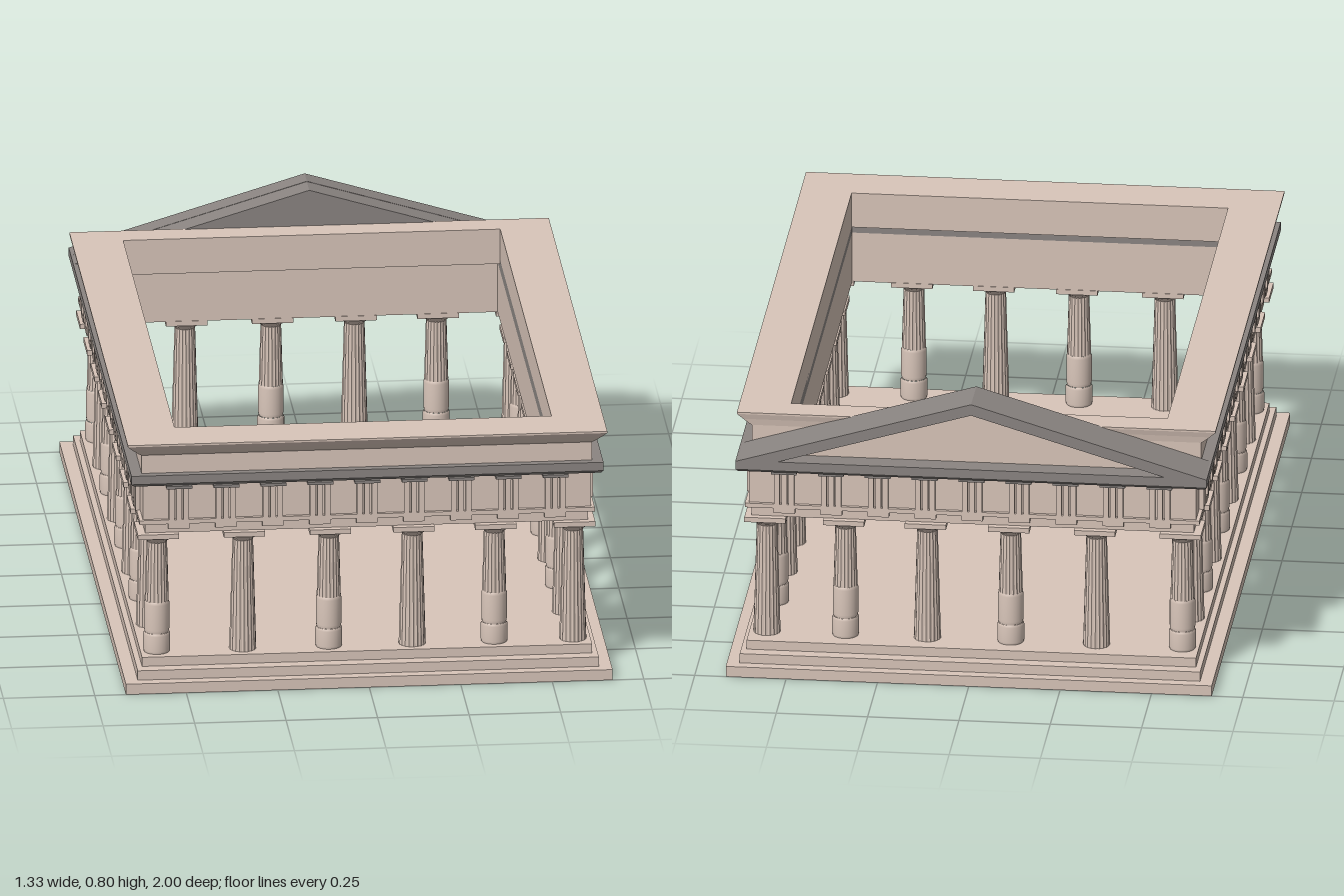
import * as THREE from 'three';

const stone = new THREE.MeshStandardMaterial({ color: 0xd9c6ba });
stone.name = 'pale stone';
const grey = new THREE.MeshStandardMaterial({ color: 0x8b8582 });
grey.name = 'weathered grey stone';

// Rectangular sweep: each profile entry is [halfWidth, frontZ, backZ, y]; the profile closes on itself
function rectSweep(profile) {
  const pos = [];
  const corners = profile.map(([x, f, b, y]) => [[-x, y, f], [x, y, f], [x, y, b], [-x, y, b]]);
  corners.forEach((p, j) => {
    const q = corners[(j + 1) % corners.length];
    for (let i = 0; i < 4; i++) {
      const k = (i + 1) % 4;
      pos.push(...p[i], ...p[k], ...q[k], ...p[i], ...q[k], ...q[i]);
    }
  });
  const g = new THREE.BufferGeometry();
  g.setAttribute('position', new THREE.Float32BufferAttribute(pos, 3));
  g.computeVertexNormals();
  return g;
}

// Square-sided ring between two heights
const ring = (inner, outer, y0, y1) => rectSweep([
  [...inner, y0], [...outer, y0], [...outer, y1], [...inner, y1],
]);

function flutedShaft(r0, r1, y0, y1) {
  const g = new THREE.CylinderGeometry(r1, r0, y1 - y0, 40, 1, true);
  const p = g.attributes.position;
  for (let i = 0; i < p.count; i++) {
    const step = Math.round(Math.atan2(p.getZ(i), p.getX(i)) / (Math.PI / 20));
    const s = step % 2 ? 0.94 : 1;
    p.setX(i, p.getX(i) * s);
    p.setZ(i, p.getZ(i) * s);
  }
  g.translate(0, (y0 + y1) / 2, 0);
  const flat = g.toNonIndexed();
  flat.computeVertexNormals();
  return flat;
}

const lathe = (pts) => new THREE.LatheGeometry(pts.map(([x, y]) => new THREE.Vector2(x, y)), 24);

export function createModel() {
  const model = new THREE.Group();
  model.name = 'temple';
  const add = (parent, name, geo, mat, x = 0, y = 0, z = 0) => {
    const m = new THREE.Mesh(geo, mat);
    m.name = name;
    m.position.set(x, y, z);
    parent.add(m);
    return m;
  };
  const box = (w, h, d) => new THREE.BoxGeometry(w, h, d);

  // Stepped base
  [[0.665, 1.0, 0, 0.03], [0.63, 0.97, 0.03, 0.057], [0.615, 0.935, 0.057, 0.083]].forEach(([hx, hz, y0, y1], i) =>
    add(model, 'baseStep' + (i + 1), box(hx * 2, y1 - y0, hz * 2), stone, 0, (y0 + y1) / 2, 0));

  // Columns: fluted all the way, or with two smooth replacement drums at the foot
  const fullShaft = flutedShaft(0.037, 0.028, 0.083, 0.41);
  const upperShaft = flutedShaft(0.033, 0.028, 0.23, 0.41);
  const lowerDrum = lathe([[0.035, 0.083], [0.037, 0.09], [0.037, 0.133], [0.034, 0.14]]);
  const upperDrum = lathe([[0.033, 0.14], [0.035, 0.15], [0.035, 0.222], [0.032, 0.23]]);
  const echinus = lathe([[0.027, 0.4], [0.03, 0.405], [0.04, 0.411], [0.05, 0.42], [0.05, 0.424]]);
  const abacus = box(0.113, 0.014, 0.113);
  const column = (x, z, drums) => {
    const c = new THREE.Group();
    c.name = 'column';
    c.position.set(x, 0, z);
    if (drums) {
      add(c, 'lowerDrum', lowerDrum, stone);
      add(c, 'upperDrum', upperDrum, stone);
    }
    add(c, 'shaft', drums ? upperShaft : fullShaft, stone);
    add(c, 'echinus', echinus, stone);
    add(c, 'abacus', abacus, stone, 0, 0.429, 0);
    model.add(c);
  };
  const xs = [-0.57, -0.335, -0.1, 0.128, 0.352, 0.567];
  const zs = [0.88, 0.662, 0.445, 0.227, 0.01, -0.207, -0.425, -0.642, -0.86];
  xs.forEach((x, i) => {
    column(x, zs[0], i % 2 === 0);
    column(x, zs[8], i % 2 === 0);
  });
  for (let i = 1; i < 8; i++) {
    column(xs[5], zs[i], [2, 4, 7].includes(i));
    column(xs[0], zs[i], i % 2 === 0);
  }

  // Entablature rings: architrave, narrow band, frieze, cornice
  const inner = [0.515, 0.825, -0.805];
  add(model, 'architrave', ring(inner, [0.605, 0.918, -0.898], 0.435, 0.465), stone);
  add(model, 'architraveBand', ring(inner, [0.622, 0.935, -0.915], 0.465, 0.477), stone);
  add(model, 'frieze', ring(inner, [0.612, 0.925, -0.905], 0.477, 0.578), stone);
  add(model, 'cornice', rectSweep([
    [...inner, 0.578], [0.638, 0.94, -0.933, 0.578], [0.645, 0.947, -0.942, 0.586],
    [0.645, 0.947, -0.942, 0.61], [...inner, 0.61],
  ]), grey);

  // Triglyphs: three upright bars, a cap, a small tab below and a block under the cornice
  const bar = box(0.015, 0.092, 0.018);
  const cap = box(0.058, 0.01, 0.02);
  const tab = box(0.058, 0.014, 0.016);
  const mutule = box(0.07, 0.008, 0.025);
  const triglyph = (x, z, turn) => {
    const t = new THREE.Group();
    t.name = 'triglyph';
    t.position.set(x, 0, z);
    t.rotation.y = turn;
    for (const k of [-1, 0, 1]) add(t, 'bar', bar, stone, k * 0.02, 0.523, 0.004);
    add(t, 'cap', cap, stone, 0, 0.571, 0.004);
    add(t, 'tab', tab, stone, 0, 0.458, 0.001);
    add(t, 'mutule', mutule, grey, 0, 0.575, 0.014);
    model.add(t);
  };
  for (let k = -4; k <= 4; k++) {
    triglyph(k * 0.1285, 0.925, 0);
    triglyph(k * 0.1285, -0.905, Math.PI);
  }
  for (let i = 0; i < 16; i++) {
    const z = 0.82 - i * 0.108;
    triglyph(0.612, z, Math.PI / 2);
    triglyph(-0.612, z, -Math.PI / 2);
  }

  // Flared parapet around the open roof
  add(model, 'parapet', rectSweep([
    [0.515, 0.81, -0.73, 0.6], [0.615, 0.925, -0.803, 0.6], [0.615, 0.925, -0.803, 0.662],
    [0.624, 0.931, -0.804, 0.668], [0.638, 0.94, -0.806, 0.68], [0.655, 0.95, -0.81, 0.695],
    [0.655, 0.95, -0.81, 0.7], [0.515, 0.81, -0.73, 0.7],
  ]), stone);

  // Back pediment: solid triangle, raking cornice frame, pale recessed panel
  const triangle = (hx, y0, y1) => new THREE.Shape([
    new THREE.Vector2(-hx, y0), new THREE.Vector2(hx, y0), new THREE.Vector2(0, y1),
  ]);
  const prism = (shape, depth) => new THREE.ExtrudeGeometry(shape, { depth, bevelEnabled: false });
  add(model, 'pedimentBody', prism(triangle(0.643, 0.609, 0.802), 0.075), grey, 0, 0, -0.88);
  const frame = triangle(0.645, 0.609, 0.803);
  frame.holes.push(new THREE.Path(triangle(0.53, 0.612, 0.771).getPoints().reverse()));
  add(model, 'rakingCornice', prism(frame, 0.065), grey, 0, 0, -0.942);
  add(model, 'pedimentPanel', prism(triangle(0.53, 0.611, 0.771), 0.006), stone, 0, 0, -0.885);

  return model;
}
